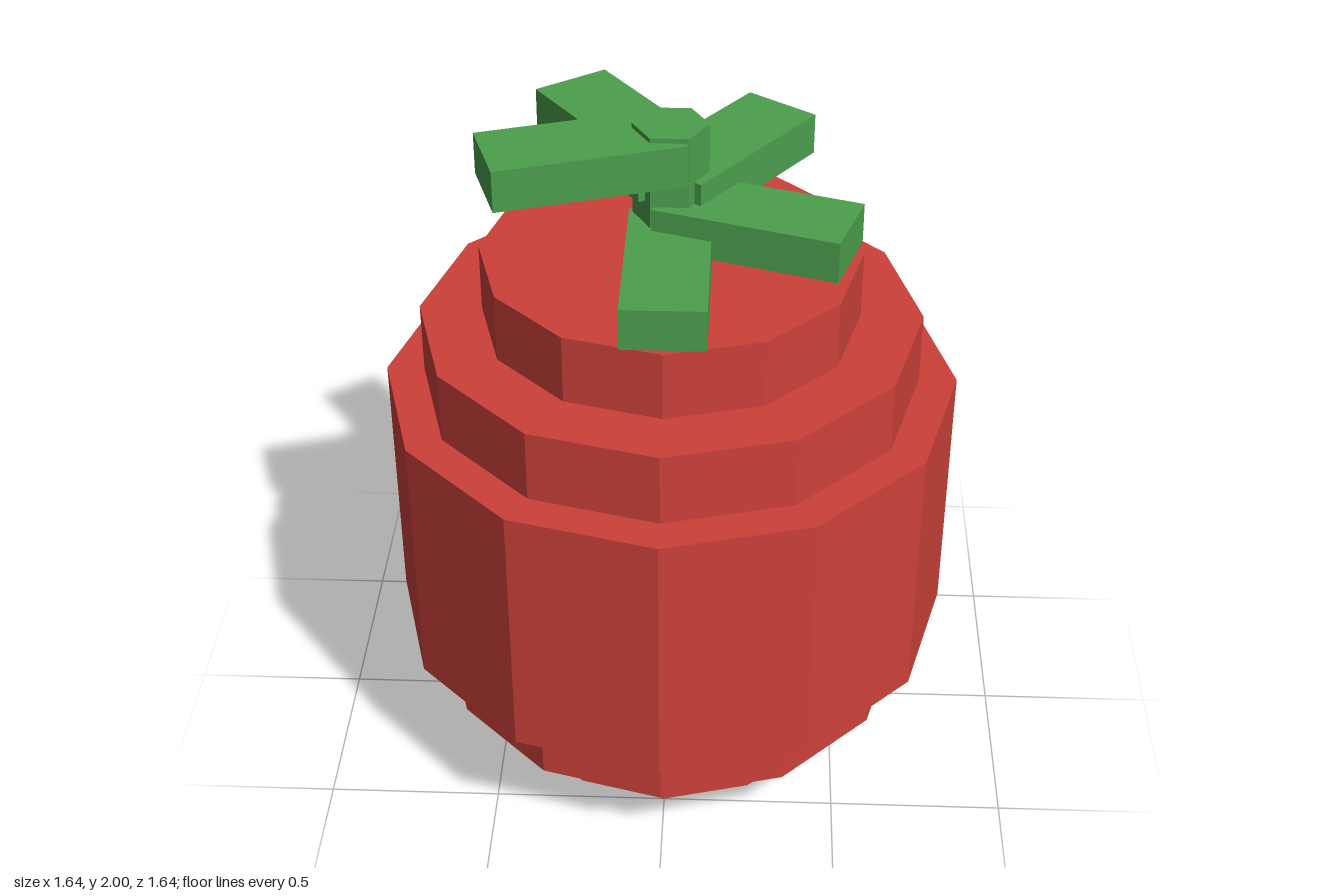
import * as THREE from 'three';

export function createModel() {
  const model = new THREE.Group();
  const red = new THREE.MeshStandardMaterial({ color: 0xcc413a, flatShading: true });
  red.name = 'red skin';
  const green = new THREE.MeshStandardMaterial({ color: 0x4c9f4d, flatShading: true });
  green.name = 'leaf green';

  // Stepped twelve-sided body: radius, bottom, top
  const body = new THREE.Group();
  body.name = 'body';
  const tiers = [
    [0.5, 0, 0.2],
    [0.695, 0.2, 0.412],
    [0.82, 0.412, 1.2],
    [0.712, 1.2, 1.41],
    [0.535, 1.41, 1.61],
  ];
  tiers.forEach(([radius, bottom, top], i) => {
    const tier = new THREE.Mesh(new THREE.CylinderGeometry(radius, radius, top - bottom, 12), red);
    tier.position.y = (bottom + top) / 2;
    tier.name = `bodyTier${i + 1}`;
    body.add(tier);
  });
  model.add(body);

  // Six-sided stem with corners on the x axis
  const stem = new THREE.Mesh(new THREE.CylinderGeometry(0.105, 0.105, 0.39, 6), green);
  stem.rotation.y = Math.PI / 6;
  stem.position.y = 1.805;
  stem.name = 'stem';
  model.add(stem);

  // Five leaves climbing the stem like a spiral stair
  const leafShape = new THREE.BoxGeometry(0.23, 0.12, 0.53).translate(0, 0.06, 0.25);
  const leaves = new THREE.Group();
  leaves.name = 'leaves';
  for (let i = 0; i < 5; i++) {
    const leaf = new THREE.Mesh(leafShape, green);
    leaf.rotation.y = (i * Math.PI * 2) / 5;
    leaf.position.y = 1.61 + i * 0.064;
    leaf.name = `leaf${i + 1}`;
    leaves.add(leaf);
  }
  model.add(leaves);

  return model;
}
